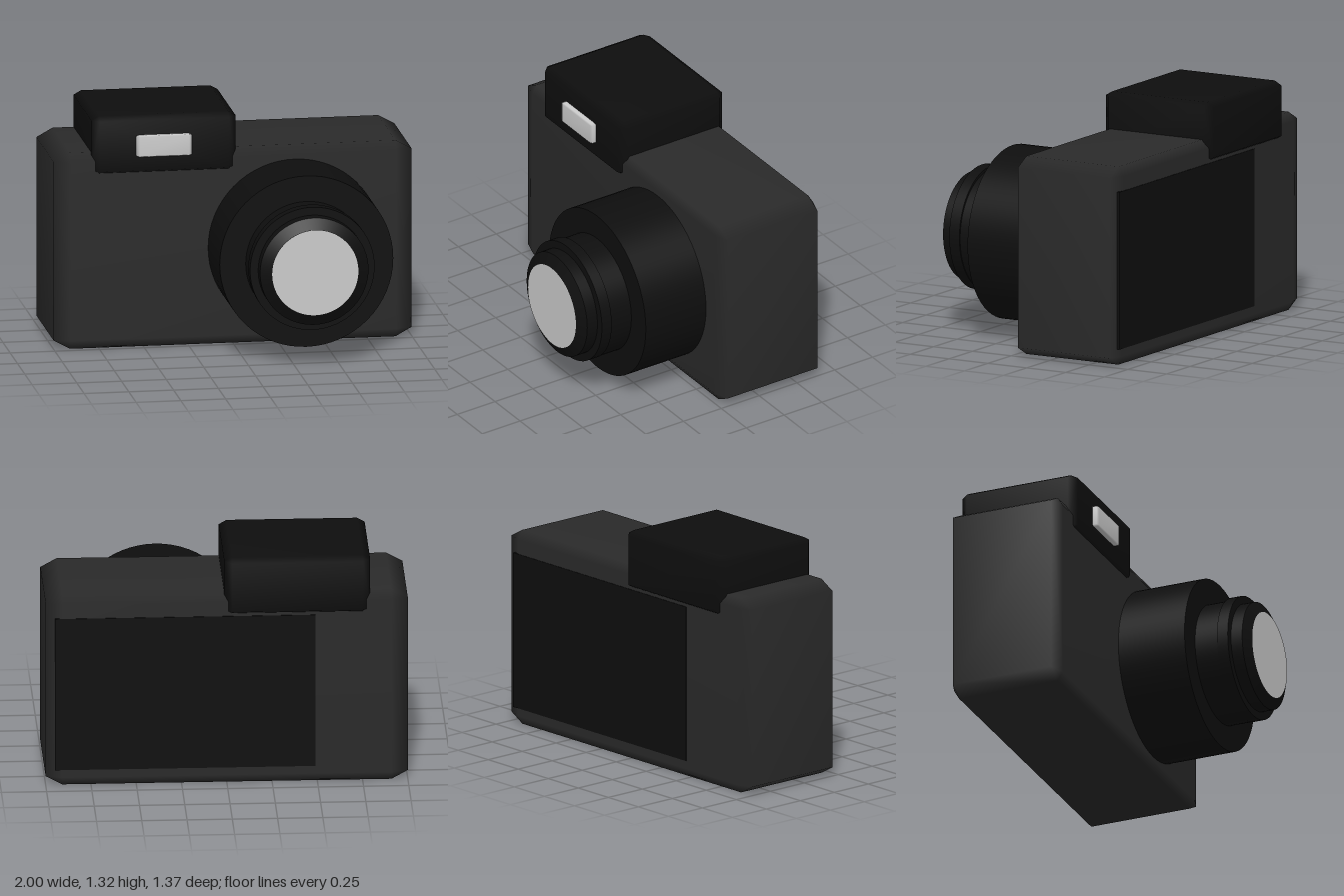
import * as THREE from 'three';
import { ConvexGeometry } from 'three/addons/geometries/ConvexGeometry.js';
import { mergeVertices } from 'three/addons/utils/BufferGeometryUtils.js';

const paint = (color) => new THREE.MeshStandardMaterial({ color });
const bodyMat = paint(0x2a2a2a);
const blackMat = paint(0x0e0e0e);
const greyMat = paint(0xcccccc);

// Box given by its min and max corners, every edge cut by the chamfer (one size per axis)
function chamferBox(name, min, max, cut, material) {
  const size = max.map((v, i) => (v - min[i]) / 2);
  const points = [];
  for (const sx of [-1, 1]) for (const sy of [-1, 1]) for (const sz of [-1, 1]) {
    for (let face = 0; face < 3; face++) {
      const p = [sx, sy, sz].map((s, i) => s * (size[i] - (i === face ? 0 : cut[i])));
      points.push(new THREE.Vector3(...p));
    }
  }
  // Shared vertices give soft shading across the cut edges
  let geometry = new ConvexGeometry(points);
  geometry.deleteAttribute('normal');
  geometry = mergeVertices(geometry, 1e-4);
  geometry.computeVertexNormals();
  const mesh = new THREE.Mesh(geometry, material);
  mesh.name = name;
  mesh.position.set(...min.map((v, i) => (v + max[i]) / 2));
  return mesh;
}

// Lens section along z
const LENS_X = 0.343;
function lensSection(name, radius, z0, z1, y, frontRadius = radius) {
  const geometry = new THREE.CylinderGeometry(frontRadius, radius, z1 - z0, 64);
  geometry.rotateX(Math.PI / 2);
  const mesh = new THREE.Mesh(geometry, blackMat);
  mesh.name = name;
  mesh.position.set(LENS_X, y, (z0 + z1) / 2);
  return mesh;
}

export function createModel() {
  const camera = new THREE.Group();
  camera.name = 'camera';

  // Body, top housing and flash
  camera.add(
    chamferBox('body', [-1, 0, -0.665], [1, 1.113, -0.013], [0.09, 0.05, 0.03], bodyMat),
    chamferBox('flashHousing', [-0.792, 0.985, -0.685], [0.014, 1.317, 0.008], [0.042, 0.024, 0.042], blackMat),
    chamferBox('flashLamp', [-0.547, 1.09, -0.03], [-0.239, 1.211, 0.04], [0.016, 0.006, 0.008], greyMat),
  );

  // Stepped lens barrel
  camera.add(
    lensSection('lensBase', 0.485, -0.1, 0.385, 0.55),
    lensSection('lensBarrel', 0.34, 0.3, 0.585, 0.55),
    lensSection('focusRing', 0.348, 0.52, 0.585, 0.557),
    lensSection('lensNose', 0.303, 0.55, 0.652, 0.557),
    lensSection('lensRim', 0.303, 0.652, 0.684, 0.557, 0.243),
  );

  // Front glass
  const glass = new THREE.Mesh(new THREE.CircleGeometry(0.241, 64), greyMat);
  glass.name = 'lensGlass';
  glass.position.set(LENS_X, 0.557, 0.686);
  camera.add(glass);

  // Display on the back
  const display = new THREE.Mesh(new THREE.BoxGeometry(1.44, 0.885, 0.03), blackMat);
  display.name = 'rearDisplay';
  display.position.set(0.23, 0.537, -0.653);
  camera.add(display);

  return camera;
}
